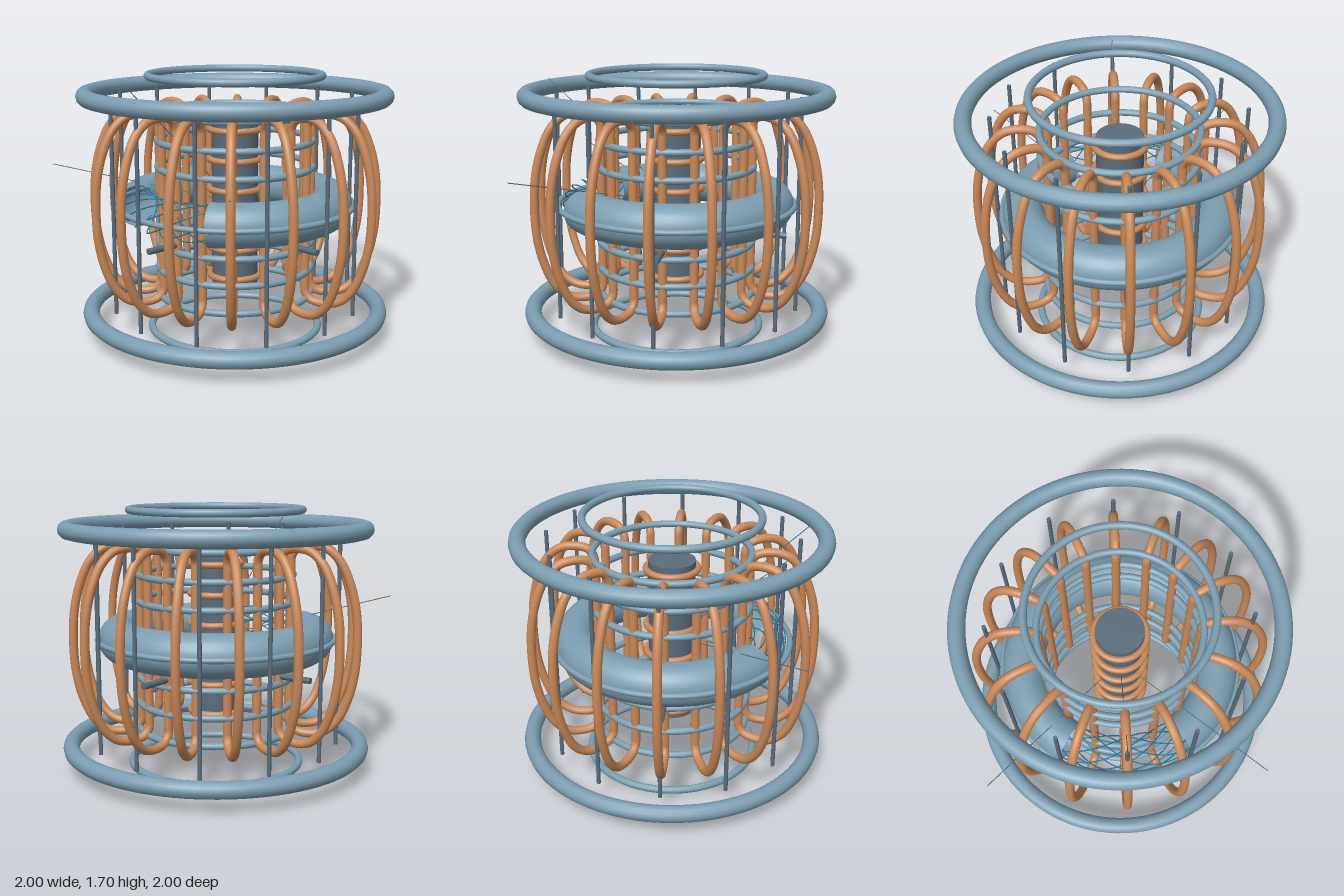
import * as THREE from 'three';

const mat = (name, color, side = THREE.FrontSide) => {
  const m = new THREE.MeshStandardMaterial({ color, side });
  m.name = name;
  return m;
};

export function createModel() {
  const steel = mat('steelBlue', 0x7b9db0, THREE.DoubleSide);
  const dark = mat('darkSteel', 0x5a6c7b);
  const copper = mat('copper', 0xc98858);
  const blue = mat('fieldLineBlue', 0x1f7ba3);
  const model = new THREE.Group();
  model.name = 'fusionReactor';
  const MID = 0.85;
  const UP = new THREE.Vector3(0, 1, 0);

  const add = (name, geo, material, parent = model) => {
    const m = new THREE.Mesh(geo, material);
    m.name = name;
    parent.add(m);
    return m;
  };
  // Horizontal ring at height y
  const ring = (name, R, r, y, material, seg = 80) => {
    const g = new THREE.TorusGeometry(R, r, 12, seg).rotateX(Math.PI / 2);
    return add(name, g.translate(0, y, 0), material);
  };
  // Straight round bar between two points
  const bar = (name, a, b, r, material, sides = 12) => {
    const d = b.clone().sub(a);
    const m = add(name, new THREE.CylinderGeometry(r, r, d.length(), sides), material);
    m.position.copy(a).add(b).multiplyScalar(0.5);
    m.quaternion.setFromUnitVectors(UP, d.normalize());
    return m;
  };

  // Outer field rings and inner control rings, mirrored about the midplane
  for (const s of [-1, 1]) {
    ring('largeFieldRing', 0.947, 0.053, MID + s * 0.705, steel, 96);
    ring('smallFieldRing', 0.552, 0.024, MID + s * 0.824, steel);
    for (const h of [0.245, 0.415, 0.59]) {
      ring('innerControlRing', 0.498, 0.022, MID + s * h, steel);
    }
  }

  // Vacuum vessel with an open window at the front
  const gap = THREE.MathUtils.degToRad(33);
  const vessel = new THREE.TorusGeometry(0.625, 0.135, 28, 96, Math.PI * 2 - 2 * gap);
  vessel.rotateZ(Math.PI / 2 + gap).rotateX(Math.PI / 2).translate(0, MID, 0);
  add('vacuumVessel', vessel, steel);
  ring('vesselBandRing', 0.765, 0.018, MID, steel, 96);

  // Twisted field lines seen through the window
  const lines = 8;
  for (let i = 0; i < lines; i++) {
    const pts = [];
    for (let k = 0; k <= 30; k++) {
      const t = (k / 30 - 0.5) * 1.5;
      const p = t * 3 + (i / lines) * Math.PI * 2;
      const R = 0.62 + 0.115 * Math.cos(p);
      pts.push(new THREE.Vector3(R * Math.sin(t), MID + 0.115 * Math.sin(p), R * Math.cos(t)));
    }
    const curve = new THREE.CatmullRomCurve3(pts);
    add('fieldLine', new THREE.TubeGeometry(curve, 40, 0.004, 5), blue);
  }

  // D-shaped coils: upper half outline (radius, height), mirrored below
  const half = [[0.917, 0], [0.905, 0.2], [0.865, 0.37], [0.8, 0.51], [0.72, 0.585],
    [0.63, 0.607], [0.53, 0.59], [0.492, 0.54], [0.49, 0.48], [0.49, 0.24]];
  const outline = [...half, [0.49, 0],
    ...half.slice(1).reverse().map(([r, h]) => [r, -h])];
  const coilCurve = new THREE.CatmullRomCurve3(
    outline.map(([r, h]) => new THREE.Vector3(r, h, 0)), true);
  const coilGeo = new THREE.TubeGeometry(coilCurve, 90, 0.028, 12, true);
  for (let i = 0; i < 16; i++) {
    const coil = add('toroidalCoil', coilGeo, copper);
    coil.position.y = MID;
    coil.rotation.y = (i / 16) * Math.PI * 2;
  }

  // Central column with its copper windings
  const column = new THREE.CylinderGeometry(0.15, 0.15, 1.075, 48);
  add('centralColumn', column.translate(0, MID, 0), dark);
  for (let i = 0; i < 6; i++) {
    ring('columnWinding', 0.164, 0.021, MID + (i - 2.5) * 0.193, copper, 48);
  }

  // Vertical support rods
  for (let i = 0; i < 12; i++) {
    const a = (i / 12) * Math.PI * 2;
    const x = 0.79 * Math.cos(a), z = 0.79 * Math.sin(a);
    bar('supportRod', new THREE.Vector3(x, 0.15, z), new THREE.Vector3(x, 1.55, z), 0.013, dark);
  }

  // Short radial ports under the vessel
  for (let i = 0; i < 4; i++) {
    const a = (i / 4) * Math.PI * 2;
    const at = (r) => new THREE.Vector3(r * Math.cos(a), 0.655, r * Math.sin(a));
    bar('radialPort', at(0.5), at(0.72), 0.02, dark);
  }

  // Thin sight lines aimed at the centre
  for (const [x, y, z] of [[-0.834, 1.096, 0.834], [0.834, 1.123, 0.834], [0, 1.64, 0.84]]) {
    bar('sightLine', new THREE.Vector3(0, MID, 0), new THREE.Vector3(x, y, z), 0.003, dark, 6);
  }
  return model;
}
